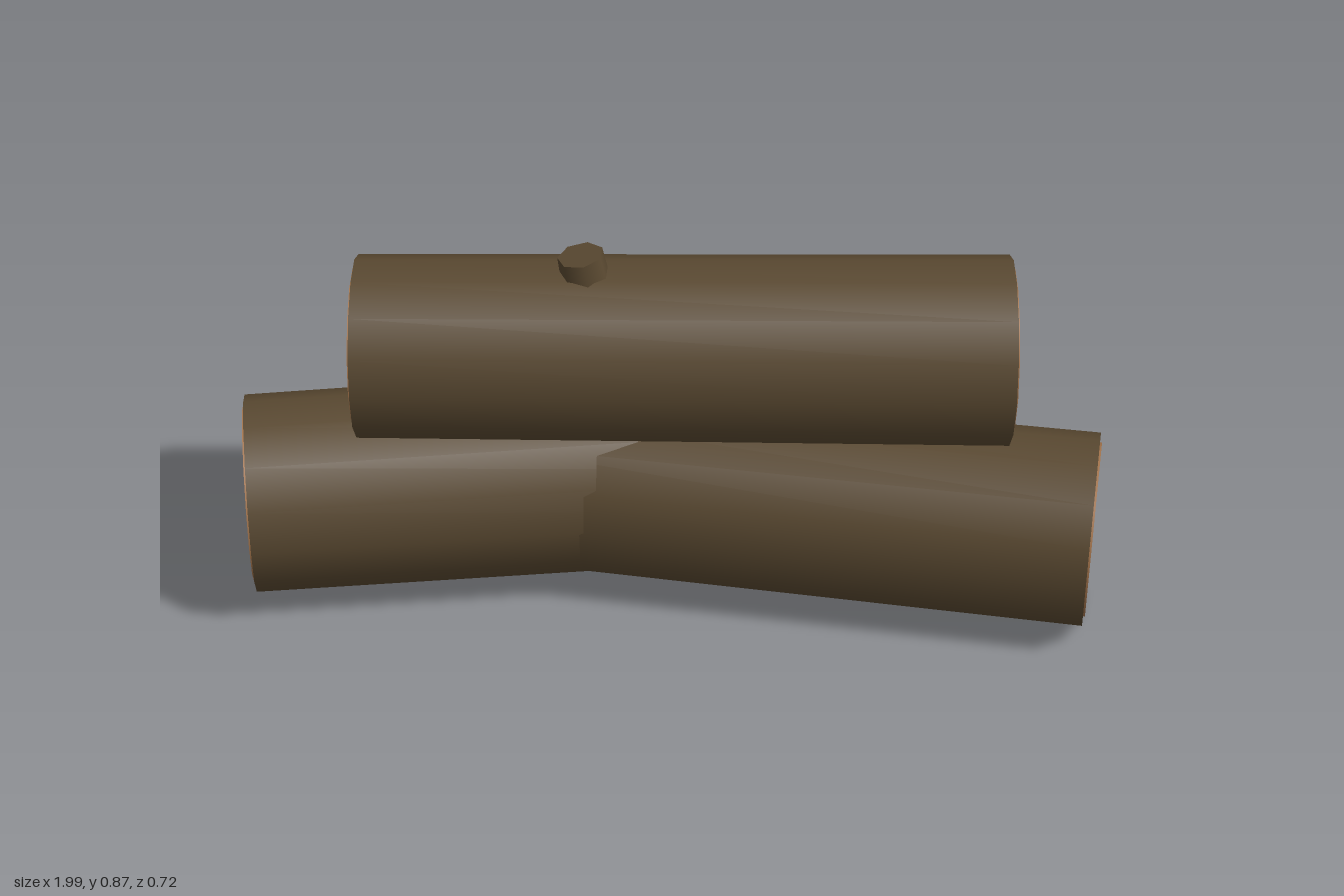
import * as THREE from 'three';

const bark = new THREE.MeshStandardMaterial({ color: 0x5a4931 });
bark.name = 'bark';
const cutWood = new THREE.MeshStandardMaterial({ color: 0xa6764d });
cutWood.name = 'cutWood';

const SIDES = 14;

// A tapered log between two end centres [x, z] at height y, with a cut wood disc on each end
function makeLog(name, y, left, right, leftRadius, rightRadius) {
  const log = new THREE.Group();
  log.name = name;
  const dx = right[0] - left[0];
  const dz = right[1] - left[1];
  const length = Math.hypot(dx, dz);

  const trunk = new THREE.Mesh(
    new THREE.CylinderGeometry(rightRadius, leftRadius, length, SIDES).rotateZ(-Math.PI / 2), bark);
  trunk.name = 'trunk';
  log.add(trunk);

  for (const [side, radius] of [[-1, leftRadius], [1, rightRadius]]) {
    const disc = new THREE.Mesh(
      new THREE.CylinderGeometry(radius * 0.9, radius * 0.9, 0.009, SIDES).rotateZ(-Math.PI / 2), cutWood);
    disc.name = 'cutEnd';
    disc.position.x = side * length / 2;
    log.add(disc);
  }

  log.position.set((left[0] + right[0]) / 2, y, (left[1] + right[1]) / 2);
  log.rotation.y = -Math.atan2(dz, dx);
  return log;
}

export function createModel() {
  const model = new THREE.Group();
  model.name = 'logPile';

  // Two crossing logs on the ground, one resting on top
  model.add(
    makeLog('backLog', 0.231, [-0.956, 0.133], [0.542, -0.128], 0.227, 0.236),
    makeLog('frontLog', 0.225, [-0.42, -0.006], [0.966, 0.137], 0.213, 0.22),
    makeLog('topLog', 0.611, [-0.696, 0.07], [0.76, -0.006], 0.206, 0.214),
  );

  // Branch stub leaning out of the top log
  const stub = new THREE.Mesh(
    new THREE.CylinderGeometry(0.052, 0.057, 0.1, 7, 1, false, -Math.PI / 2), bark);
  stub.name = 'branchStub';
  stub.position.set(-0.185, 0.809, 0.046);
  stub.rotation.z = 0.17;
  model.add(stub);

  return model;
}
